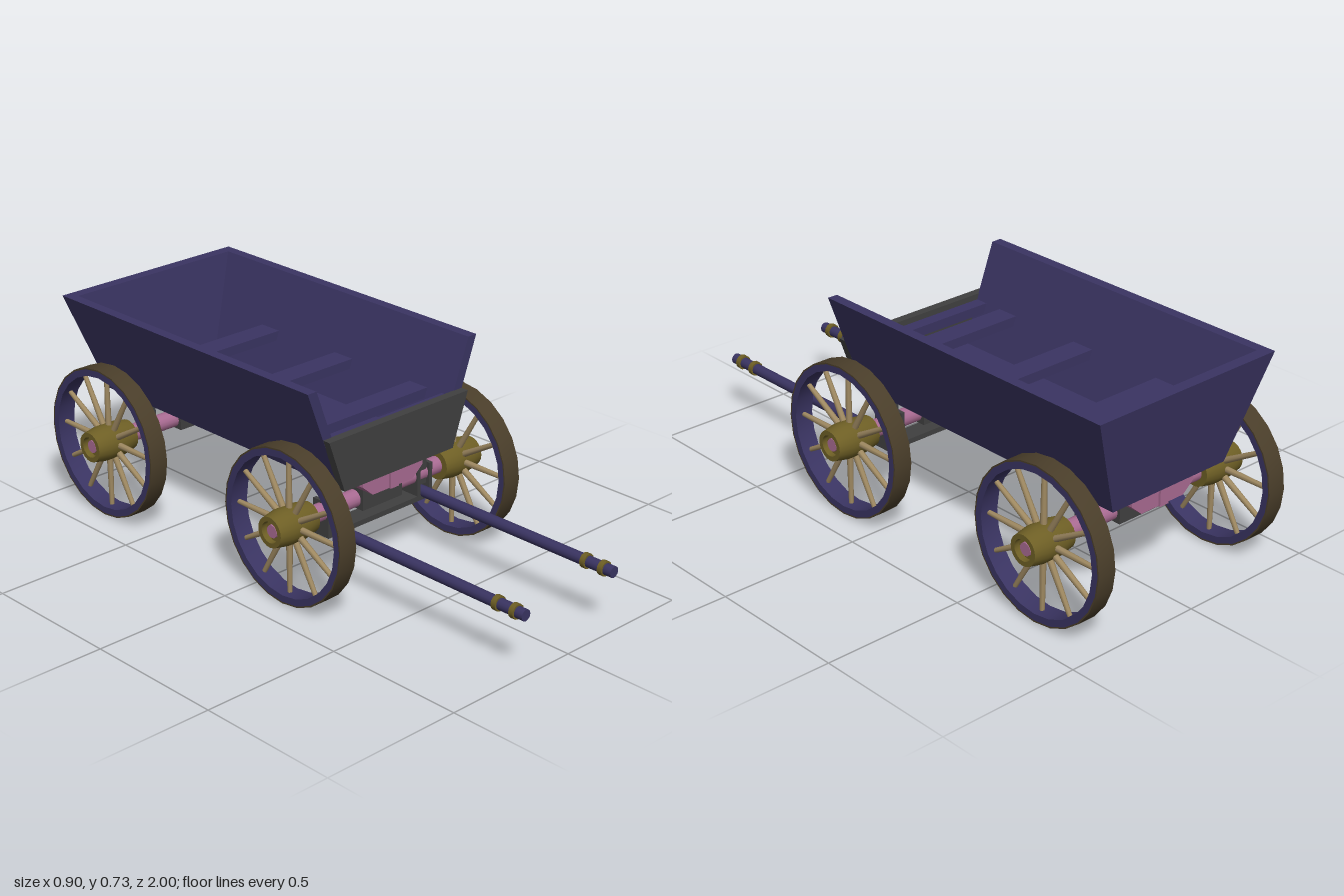
import * as THREE from 'three';
import { toCreasedNormals } from 'three/addons/utils/BufferGeometryUtils.js';

const mat = (color) => new THREE.MeshStandardMaterial({ color });
const navy = mat(0x3a3462), pink = mat(0xa96b92), iron = mat(0x404040);
const brass = mat(0x6e5f25), tread = mat(0x4a3e2a), wood = mat(0xa08a62);

const AXLES = [0.163, -0.735];
const AXLE_Y = 0.264;
const lerp = THREE.MathUtils.lerp;

function add(parent, name, geometry, material, x = 0, y = 0, z = 0) {
  const mesh = new THREE.Mesh(geometry, material);
  mesh.name = name;
  mesh.position.set(x, y, z);
  parent.add(mesh);
  return mesh;
}

// Box given by its limits
function block(parent, name, material, [x0, x1], [y0, y1], [z0, z1]) {
  const g = new THREE.BoxGeometry(x1 - x0, y1 - y0, z1 - z0);
  return add(parent, name, g, material, (x0 + x1) / 2, (y0 + y1) / 2, (z0 + z1) / 2);
}

// Box whose corners (u, v, w in 0..1) are placed by a rule
function shaped(parent, name, material, rule) {
  const g = new THREE.BoxGeometry(1, 1, 1);
  const p = g.attributes.position;
  for (let i = 0; i < p.count; i++) {
    p.setXYZ(i, ...rule(p.getX(i) + 0.5, p.getY(i) + 0.5, p.getZ(i) + 0.5));
  }
  g.computeVertexNormals();
  return add(parent, name, g, material);
}

// Turned profile [radius, x] spun around the x axis
function turned(profile, sides) {
  const g = new THREE.LatheGeometry(profile.map(([r, x]) => new THREE.Vector2(r, x)), sides);
  g.rotateZ(-Math.PI / 2);
  return toCreasedNormals(g, 0.5);
}

function makeWheel(side) {
  const wheel = new THREE.Group();
  wheel.name = 'wheel';
  add(wheel, 'felloe', turned([[0.236, -0.0335], [0.26, -0.0335], [0.26, 0.0335], [0.236, 0.0335], [0.236, -0.0335]], 24), navy);
  add(wheel, 'tyre', turned([[0.259, -0.034], [0.264, -0.034], [0.264, 0.034], [0.259, 0.034]], 24), tread);
  add(wheel, 'hub', turned([[0, -0.083], [0.052, -0.083], [0.061, -0.035], [0.061, 0.035], [0.052, 0.083],
    [0.036, 0.083], [0.036, 0.062], [0, 0.062]], 20), brass);
  add(wheel, 'axleEnd', turned([[0, 0.05], [0.022, 0.05], [0.022, 0.074], [0, 0.074]], 12), pink);
  for (let i = 0; i < 12; i++) {
    const g = new THREE.CylinderGeometry(0.008, 0.011, 0.19, 8);
    g.translate(0, 0.145, 0);
    add(wheel, 'spoke', g, wood).rotation.x = (i * Math.PI) / 6;
  }
  if (side < 0) wheel.rotation.y = Math.PI;
  return wheel;
}

function makeBody() {
  const body = new THREE.Group();
  body.name = 'body';
  const y0 = 0.375, y1 = 0.727, front = 0.252, wall = 0.036;
  const half = (v) => lerp(0.24, 0.37, v);
  const back = (v) => lerp(-0.89, -0.955, v);

  // Flared side walls
  for (const s of [-1, 1]) {
    shaped(body, 'sideWall', navy, (u, v, w) =>
      [s * (half(v) - wall / 2) + (u - 0.5) * wall, lerp(y0, y1, v), lerp(back(v), front, w)]);
  }
  // Sloping back wall and floor
  shaped(body, 'backWall', navy, (u, v, w) =>
    [(u * 2 - 1) * (half(v) - 0.01), lerp(y0, y1, v), back(v) + w * 0.04]);
  block(body, 'floor', navy, [-0.225, 0.225], [y0, 0.395], [-0.87, front]);

  // Low front board
  shaped(body, 'frontBoard', iron, (u, v, w) =>
    [(u * 2 - 1) * lerp(0.242, 0.307, v), lerp(y0, 0.558, v), lerp(0.25, 0.28, w)]);

  // Cross benches
  for (const [a, b] of [[-0.66, -0.575], [-0.295, -0.21], [0.06, 0.14], [0.205, 0.25]]) {
    block(body, 'bench', navy, [-0.27, 0.27], [0.505, 0.538], [a, b]);
  }
  return body;
}

function makeUndercarriage() {
  const under = new THREE.Group();
  under.name = 'undercarriage';

  // Chamfered keel beam
  const s = new THREE.Shape([[-0.133, 0.377], [-0.133, 0.342], [-0.09, 0.305], [0.09, 0.305], [0.133, 0.342], [0.133, 0.377]]
    .map(([x, y]) => new THREE.Vector2(x, y)));
  const beam = new THREE.ExtrudeGeometry(s, { depth: 1.115, bevelEnabled: false });
  add(under, 'keelBeam', beam, pink, 0, 0, -0.865);
  for (const z of [0.25, -0.865]) block(under, 'beamPeg', pink, [-0.018, 0.018], [0.305, 0.375], [z - 0.008, z + 0.008]);

  for (const z of AXLES) {
    // Axle with its clamp
    const axle = new THREE.CylinderGeometry(0.03, 0.03, 0.62, 16);
    axle.rotateZ(Math.PI / 2);
    add(under, 'axle', axle, pink, 0, AXLE_Y, z);
    block(under, 'axleClamp', iron, [-0.088, 0.088], [0.231, 0.308], [z - 0.04, z + 0.04]);
    for (const sx of [-1, 1]) {
      const x = sx * 0.2;
      block(under, 'clampBolt', iron, [sx * 0.047 - 0.007, sx * 0.047 + 0.007], [0.225, 0.235], [z - 0.025, z + 0.025]);
      block(under, 'post', iron, [x - 0.016, x + 0.016], [0.23, 0.376], [z - 0.025, z + 0.025]);
    }
  }

  // Shaft bracket under the front axle
  const z = AXLES[0];
  block(under, 'bracketBar', iron, [-0.234, 0.234], [0.18, 0.198], [z - 0.035, z + 0.035]);
  for (const sx of [-1, 1]) {
    for (const dx of [-0.027, 0.027]) {
      const x = sx * 0.2 + dx;
      block(under, 'bracketPlate', iron, [x - 0.007, x + 0.007], [0.18, 0.302], [z - 0.035, z + 0.035]);
    }
  }
  return under;
}

// Pulling shaft with two grip rings
function makeShaft(x) {
  const shaft = new THREE.Group();
  shaft.name = 'shaft';
  shaft.position.set(x, 0.205, 0);
  const rod = (name, r, z0, z1, m) => {
    const g = new THREE.CylinderGeometry(r, r, z1 - z0, 12);
    g.rotateX(Math.PI / 2);
    add(shaft, name, g, m, 0, 0, (z0 + z1) / 2);
  };
  rod('rod', 0.019, 0.13, 1, navy);
  for (const z of [0.89, 0.96]) rod('gripRing', 0.025, z - 0.009, z + 0.009, brass);
  return shaft;
}

export function createModel() {
  const cart = new THREE.Group();
  cart.name = 'wagon';
  cart.add(makeBody(), makeUndercarriage());
  for (const s of [-1, 1]) {
    cart.add(makeShaft(s * 0.2));
    for (const z of AXLES) {
      const wheel = makeWheel(s);
      wheel.position.set(s * 0.369, AXLE_Y, z);
      cart.add(wheel);
    }
  }
  return cart;
}
